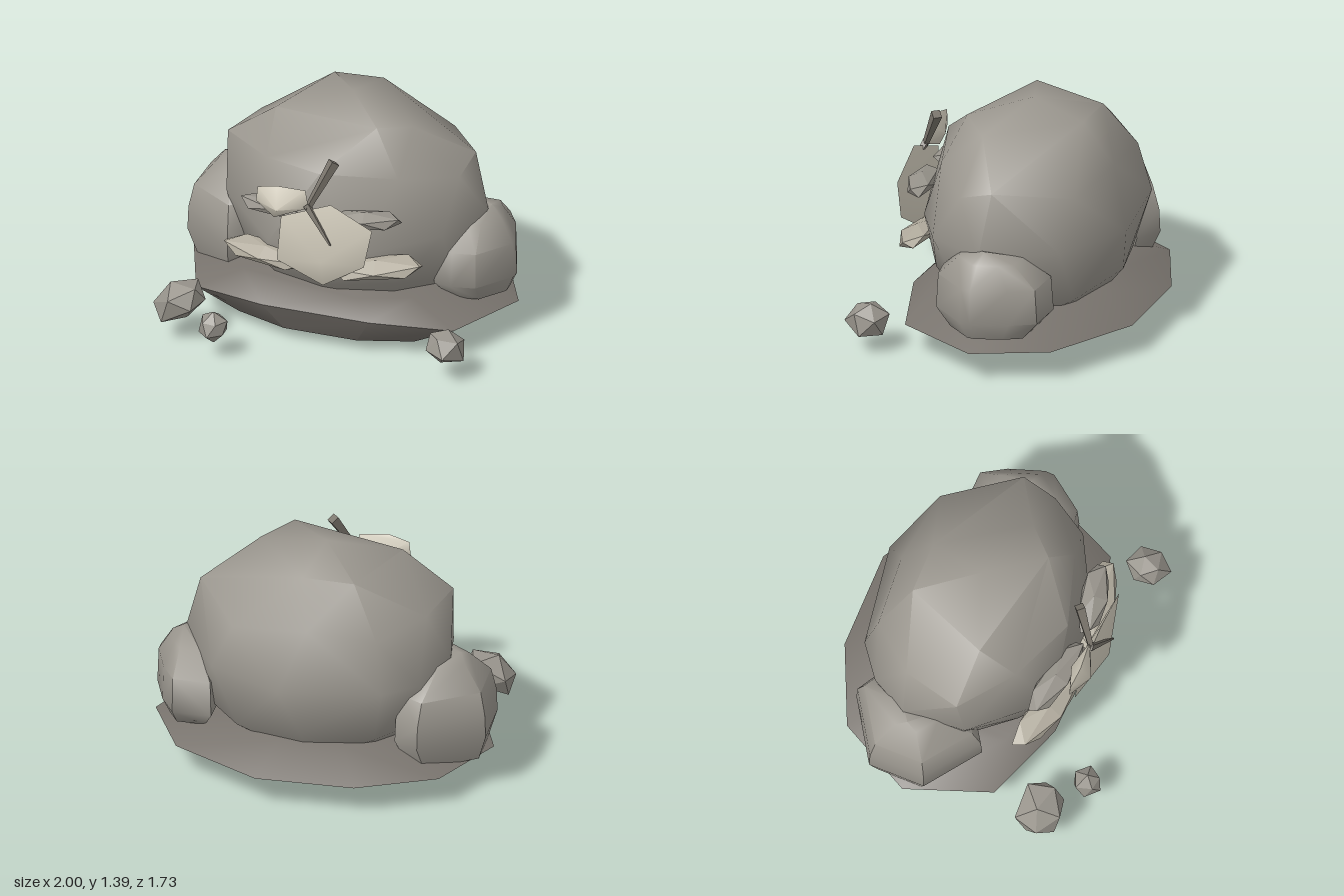
import * as THREE from 'three';
import { mergeVertices, toCreasedNormals } from 'three/addons/utils/BufferGeometryUtils.js';
import { ConvexGeometry } from 'three/addons/geometries/ConvexGeometry.js';

const paint = (color, flatShading = false) => new THREE.MeshStandardMaterial({ color, flatShading });
const rockMaterial = paint(0x9b978f);
const baseMaterial = paint(0x78736d);
const plateMaterial = paint(0xd6d0c0);
const chipMaterial = paint(0x97938b, true);
const paleLedgeMaterial = paint(0xb3ad9f, true);
const twigMaterial = paint(0x7a756c, true);

// small seeded generator for the chipped stones
function seeded(seed) {
  let s = seed;
  return () => (s = (s * 16807) % 2147483647) / 2147483647;
}

// welded unit icosphere with one vertex on the +y pole
function poleSphere(detail) {
  const g = new THREE.IcosahedronGeometry(1, detail);
  g.deleteAttribute('normal');
  g.deleteAttribute('uv');
  g.rotateX(-Math.atan2((1 + Math.sqrt(5)) / 2, 1));
  return mergeVertices(g, 1e-3);
}

function addMesh(group, name, geometry, material) {
  const mesh = new THREE.Mesh(geometry, material);
  mesh.name = name;
  group.add(mesh);
  return mesh;
}

// smooth boulder: an ellipsoid whose nearest vertices are pulled onto a few corner points
function boulder(center, radii, corners) {
  const g = poleSphere(1).scale(...radii).translate(...center);
  const p = g.attributes.position, v = new THREE.Vector3();
  for (const c of corners) {
    const target = new THREE.Vector3(...c);
    let best = 0, bestDistance = Infinity;
    for (let i = 0; i < p.count; i++) {
      const d = v.fromBufferAttribute(p, i).distanceTo(target);
      if (d < bestDistance) { bestDistance = d; best = i; }
    }
    p.setXYZ(best, ...c);
  }
  return toCreasedNormals(g, 0.9);
}

// convex stone with smooth faces and sharp edges
function hull(points) {
  return toCreasedNormals(new ConvexGeometry(points.map((c) => new THREE.Vector3(...c))), 0.9);
}

// blocky boulder: a plan outline scaled about its centre at several heights, closed by a top point
function block(plan, [cx, cz], rings, topPoint) {
  const points = [topPoint];
  for (const [y, s] of rings) {
    for (const [x, z] of plan) points.push([cx + (x - cx) * s, y, cz + (z - cz) * s]);
  }
  return hull(points);
}

// faceted stone: a jittered icosahedron
function chip(radii, jitter, seed) {
  const g = poleSphere(0), p = g.attributes.position, rnd = seeded(seed);
  for (let i = 0; i < p.count; i++) {
    const k = 1 + (rnd() - 0.5) * jitter;
    p.setXYZ(i, p.getX(i) * k, p.getY(i) * k, p.getZ(i) * k);
  }
  g.scale(...radii);
  g.computeVertexNormals();
  return g;
}

// tapered twig between two points
function twig(a, b, rA, rB) {
  const from = new THREE.Vector3(...a), to = new THREE.Vector3(...b);
  const dir = to.clone().sub(from);
  const g = new THREE.CylinderGeometry(rB, rA, dir.length(), 4);
  g.applyQuaternion(new THREE.Quaternion().setFromUnitVectors(new THREE.Vector3(0, 1, 0), dir.clone().normalize()));
  return g.translate(...from.add(to).multiplyScalar(0.5).toArray());
}

export function createModel() {
  const model = new THREE.Group();
  model.name = 'rockPile';

  // base slab: sharp ten-sided rim, sloping top and shallow pointed underside
  const rim = [
    [1, -0.18], [0.79, 0.32], [0.33, 0.48], [-0.33, 0.48], [-0.8, 0.31],
    [-1, -0.18], [-0.78, -0.63], [-0.33, -0.85], [0.25, -0.87], [0.78, -0.6],
  ];
  const basePoints = [[0, 0, -0.15]];
  for (const [x, z] of rim) {
    basePoints.push([x, z > 0.4 ? 0.235 : 0.19, z]);
    basePoints.push([x * 0.66, 0.33, z * 0.77 + 0.02]);
    basePoints.push([x * 0.68, 0.065, z * 0.66 + 0.08]);
  }
  addMesh(model, 'baseSlab', hull(basePoints), baseMaterial);

  // main boulder
  addMesh(model, 'mainBoulder', boulder([0.02, 0.72, -0.16], [0.81, 0.67, 0.61], [
    [0, 1.39, -0.13], [0.26, 1.33, 0.17], [0.42, 1.29, 0], [-0.41, 1.29, 0.04],
    [0.06, 1.32, -0.47], [-0.24, 1.31, -0.46], [0.73, 1.09, -0.2], [-0.71, 1.08, 0.03],
    [0, 1.06, -0.64], [0, 1.1, 0.41], [0.58, 0.72, -0.56], [0.14, 0.72, -0.78],
    [-0.45, 0.72, -0.67], [-0.77, 0.8, -0.28], [-0.7, 0.72, 0.08],
    [0.25, 0.64, 0.45], [-0.3, 0.64, 0.45],
  ]), rockMaterial);

  // boulders leaning on its sides
  addMesh(model, 'leftBoulder', block(
    [[0.99, -0.18], [0.99, -0.12], [0.84, 0.1], [0.7, 0.13], [0.59, 0.11], [0.59, -0.53], [0.82, -0.53], [0.91, -0.39]],
    [0.8, -0.2], [[0.26, 0.72], [0.37, 1], [0.58, 0.96], [0.71, 0.55]], [0.83, 0.77, -0.2],
  ), rockMaterial);
  addMesh(model, 'rightBoulder', block(
    [[-1, -0.39], [-0.99, -0.05], [-0.66, 0.17], [-0.56, 0.1], [-0.5, -0.55], [-0.65, -0.63]],
    [-0.76, -0.23], [[0.2, 0.8], [0.36, 1], [0.5, 0.98], [0.64, 0.86], [0.78, 0.38]], [-0.82, 0.81, -0.23],
  ), rockMaterial);

  // upright plates on the front
  addMesh(model, 'largePlate', hull([
    [0.13, 1.0, 0.57], [0.38, 0.87, 0.56], [0.33, 0.63, 0.56],
    [0.07, 0.46, 0.54], [-0.21, 0.58, 0.55], [-0.18, 0.87, 0.56],
    [0.09, 0.65, 0.63], [0.09, 0.65, 0.49],
  ]), plateMaterial);
  addMesh(model, 'smallPlate', hull([
    [-0.32, 1.04, 0.57], [-0.2, 1.07, 0.58], [-0.03, 1.06, 0.56],
    [-0.01, 0.95, 0.56], [-0.22, 0.86, 0.57], [-0.33, 0.95, 0.57],
    [-0.18, 0.94, 0.64], [-0.17, 0.96, 0.51],
  ]), plateMaterial);

  // ledges wrapping round the front: centre, half sizes, pitch, yaw, roll
  const ledges = [
    ['lowerRightLedge', [-0.32, 0.55, 0.43], [0.34, 0.05, 0.11], 0.25, -0.2, 0.04, paleLedgeMaterial],
    ['lowerLeftLedge', [0.36, 0.575, 0.43], [0.33, 0.05, 0.11], 0.25, 0.2, 0.07, paleLedgeMaterial],
    ['upperRightLedge', [-0.24, 0.87, 0.44], [0.3, 0.05, 0.09], 0.1, -0.15, 0.02, chipMaterial],
    ['upperLeftLedge', [0.29, 0.87, 0.44], [0.25, 0.055, 0.09], 0.1, 0.2, 0.03, chipMaterial],
  ];
  ledges.forEach(([name, center, half, pitch, yaw, roll, material], i) => {
    const ledge = addMesh(model, name, chip(half, 0.15, 31 + i * 97), material);
    ledge.position.set(...center);
    ledge.rotation.set(pitch, yaw, roll);
  });

  // forked twig
  addMesh(model, 'upperTwig', twig([-0.02, 0.94, 0.57], [0.1, 1.21, 0.44], 0.018, 0.036), twigMaterial);
  addMesh(model, 'lowerTwig', twig([-0.02, 0.97, 0.56], [0.15, 0.77, 0.63], 0.025, 0.006), twigMaterial);

  // loose stones on the ground in front
  const pebbles = [
    ['largePebble', [-0.79, 0.235, 0.6], [0.185, 0.12, 0.145], 0.22, 0.45],
    ['smallPebble', [-0.515, 0.2, 0.77], [0.1, 0.095, 0.1], 0.45, 0],
    ['sidePebble', [0.82, 0.21, 0.54], [0.13, 0.11, 0.12], 0.4, -0.3],
  ];
  pebbles.forEach(([name, center, half, jitter, roll], i) => {
    const pebble = addMesh(model, name, chip(half, jitter, 811 + i * 173), chipMaterial);
    pebble.position.set(...center);
    pebble.rotation.set(0, 0.5 * i, roll);
  });

  return model;
}
